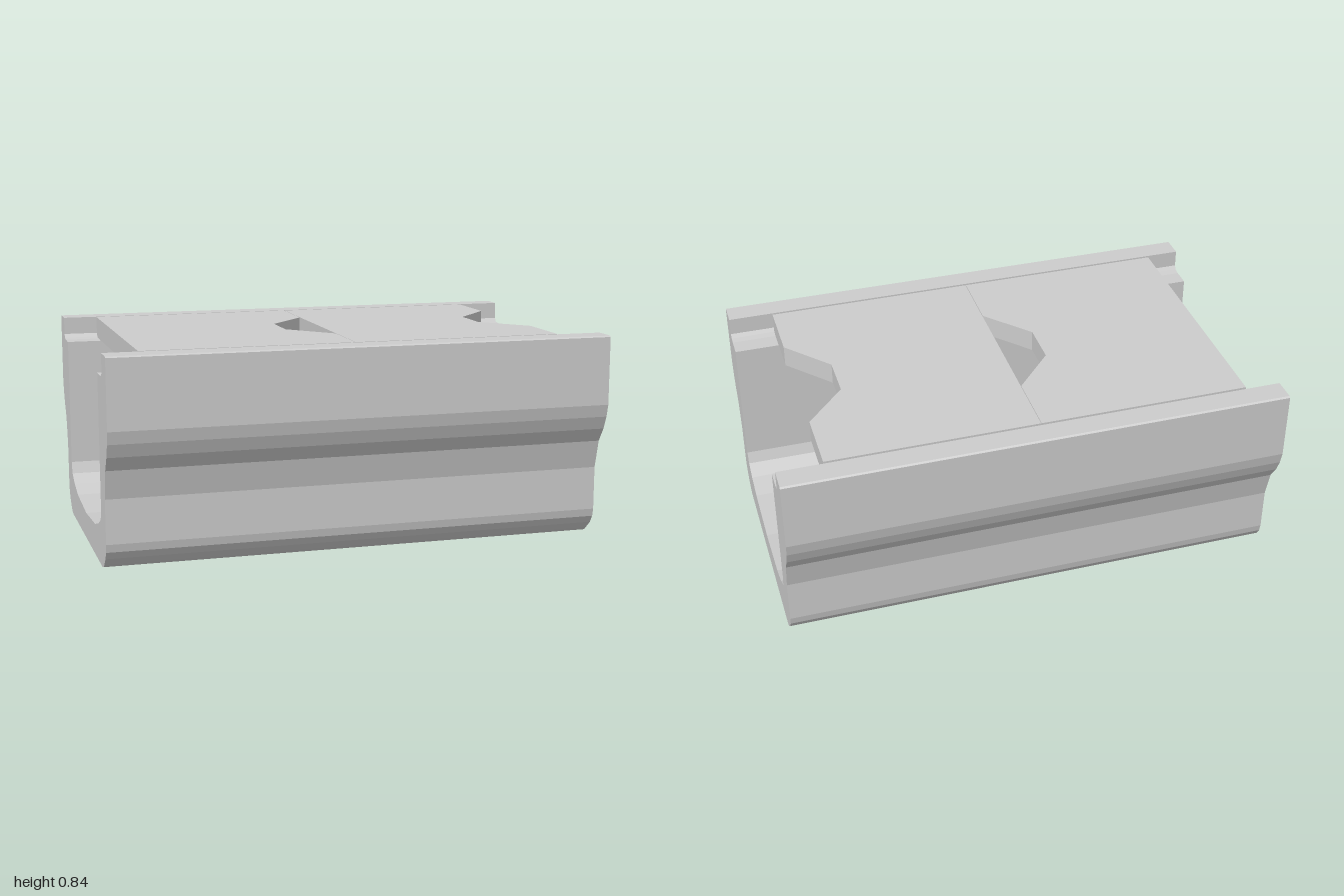
import * as THREE from 'three';

const material = new THREE.MeshStandardMaterial({ color: 0xcccccc, flatShading: true });

// Half cross-section of the channel: outside from base to rim, then inside down to the centre
const halfProfile = [
  [0.43, 0], [0.46, 0.008], [0.475, 0.02], [0.512, 0.053], [0.531, 0.083], [0.538, 0.115],
  [0.538, 0.29], [0.567, 0.405], [0.605, 0.462], [0.628, 0.515], [0.64, 0.565], [0.64, 0.837], [0.633, 0.842],
  [0.541, 0.842], [0.541, 0.772], [0.53, 0.757], [0.505, 0.752], [0.43, 0.752],
  [0.43, 0.23], [0.413, 0.183], [0.35, 0.152], [0.253, 0.126], [0, 0.108],
];

function createChannel() {
  const mirrored = halfProfile.slice(0, -1).reverse().map(([z, y]) => [-z, y]);
  const shape = new THREE.Shape([...halfProfile, ...mirrored].map(([z, y]) => new THREE.Vector2(z, y)));
  const geometry = new THREE.ExtrudeGeometry(shape, { depth: 2, bevelEnabled: false });
  geometry.translate(0, 0, -1).rotateY(Math.PI / 2);
  const mesh = new THREE.Mesh(geometry, material);
  mesh.name = 'channel';
  return mesh;
}

// Flat cover with a tapered notch in its +x edge and chamfered lower long edges
function createCover(length) {
  const halfWidth = 0.53, bottom = 0.755, top = 0.842;
  const shape = new THREE.Shape([
    [0, -halfWidth], [length, -halfWidth], [length, -0.27], [length - 0.16, -0.09],
    [length - 0.16, 0.09], [length, 0.27], [length, halfWidth], [0, halfWidth],
  ].map(([x, z]) => new THREE.Vector2(x, z)));
  const geometry = new THREE.ExtrudeGeometry(shape, { depth: top - bottom, steps: 2, bevelEnabled: false });
  geometry.rotateX(-Math.PI / 2).translate(0, bottom, 0);
  const pos = geometry.attributes.position;
  for (let i = 0; i < pos.count; i++) {
    const y = pos.getY(i), z = pos.getZ(i);
    if (Math.abs(z) < halfWidth - 0.001) continue;
    if (y < bottom + 0.001) pos.setZ(i, Math.sign(z) * (halfWidth - 0.02));
    else if (y < top - 0.001) pos.setY(i, bottom + 0.014);
  }
  geometry.computeVertexNormals();
  return new THREE.Mesh(geometry, material);
}

export function createModel() {
  const group = new THREE.Group();
  group.name = 'coveredDrainChannel';
  group.add(createChannel());

  // Two covers laid end to end on the ledges
  const length = 0.842;
  ['firstCover', 'secondCover'].forEach((name, i) => {
    const cover = createCover(length - 0.002);
    cover.name = name;
    cover.position.x = -0.862 + i * length;
    group.add(cover);
  });
  return group;
}
